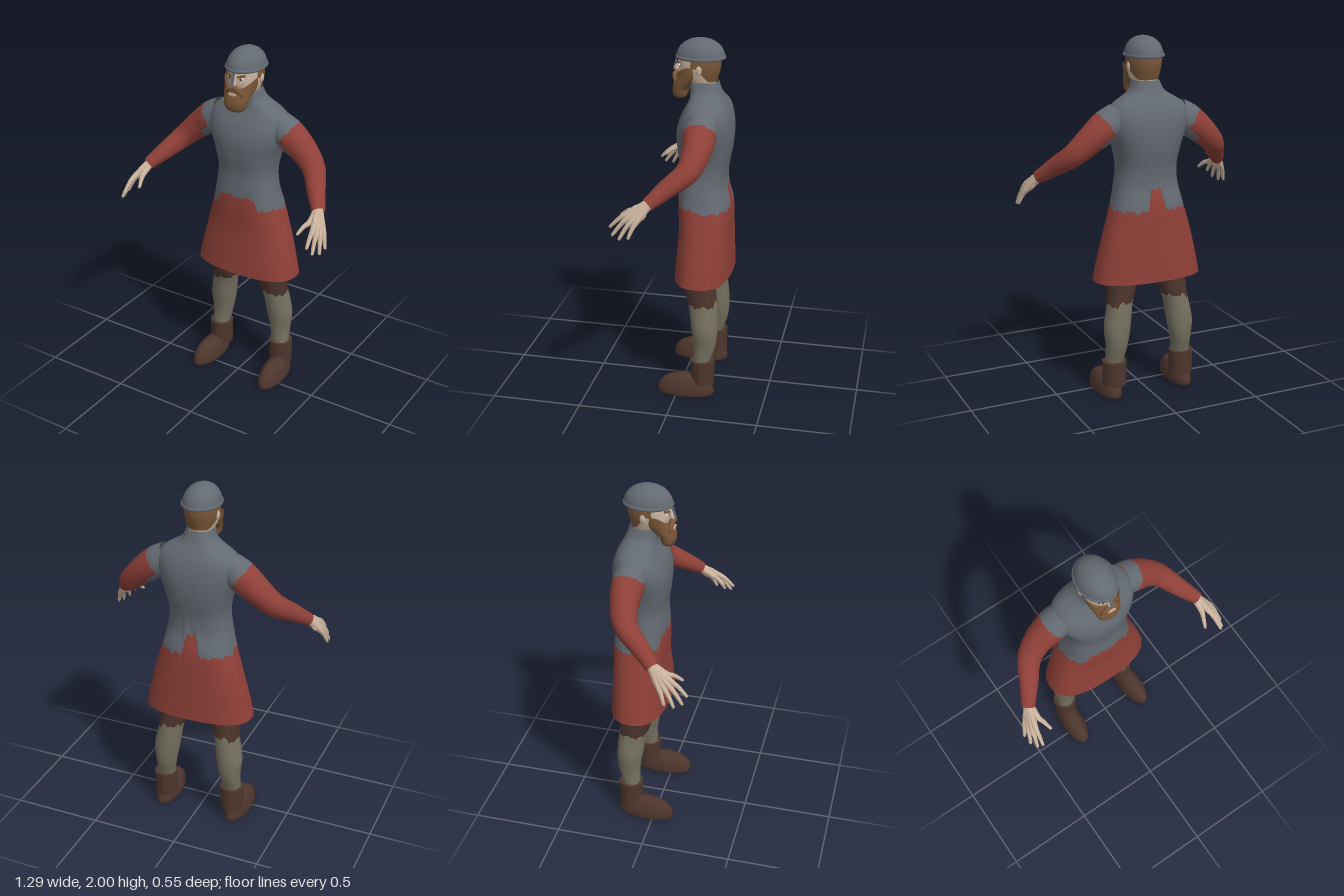
import * as THREE from 'three';

const mat = (name, color, open) => {
  const m = new THREE.MeshStandardMaterial({ color });
  m.name = name;
  if (open) m.side = THREE.DoubleSide;
  return m;
};

// Surface through oval sections [y, centreX, halfWidth, frontZ, backZ]; power shapes the oval
function oval(sections, power = 2) {
  const slope = (i, k) => {
    const a = sections[Math.max(i - 1, 0)], b = sections[Math.min(i + 1, sections.length - 1)];
    return (b[k] - a[k]) / (b[0] - a[0]);
  };
  const bend = c => Math.sign(c) * Math.abs(c) ** (2 / power);
  return (angle, y) => {
    let i = 0;
    while (i < sections.length - 2 && y > sections[i + 1][0]) i++;
    const p = sections[i], q = sections[i + 1], h = q[0] - p[0], t = (y - p[0]) / h;
    const [, cx, w, zf, zb] = p.map((_, k) =>
      p[k] * (1 + 2 * t) * (1 - t) ** 2 + slope(i, k) * h * t * (1 - t) ** 2 +
      q[k] * t * t * (3 - 2 * t) + slope(i + 1, k) * h * t * t * (t - 1));
    return [cx + w * bend(Math.cos(angle)), y, (zf + zb) / 2 + (zf - zb) / 2 * bend(Math.sin(angle))];
  };
}

// Surface round a path of points [x, y, z, radius]
function limb(points) {
  const path = new THREE.CatmullRomCurve3(points.map(p => new THREE.Vector3(p[0], p[1], p[2])), false, 'catmullrom');
  const radius = new THREE.CatmullRomCurve3(points.map(p => new THREE.Vector3(p[3], 0, 0)), false, 'catmullrom');
  return (angle, v) => {
    const t = path.getTangent(v);
    const a = new THREE.Vector3(0, 0, 1).cross(t).normalize();
    const b = a.clone().cross(t);
    return path.getPoint(v).addScaledVector(a, radius.getPoint(v).x * Math.cos(angle))
      .addScaledVector(b, radius.getPoint(v).x * Math.sin(angle)).toArray();
  };
}

// Grid over a surface, between two limits that may vary round it
function patch(f, low, high, nu = 32, nv = 16, from = 0, to = Math.PI * 2) {
  const closed = to - from > 6.28, cols = closed ? nu : nu + 1, pos = [], index = [];
  const at = (limit, angle, i) => typeof limit === 'function' ? limit(angle, i) : limit;
  for (let j = 0; j <= nv; j++) for (let i = 0; i < cols; i++) {
    const angle = from + (to - from) * i / nu;
    const v0 = at(low, angle, i), v1 = at(high, angle, i);
    pos.push(...f(angle, v0 + (v1 - v0) * j / nv));
  }
  for (let j = 0; j < nv; j++) for (let i = 0; i < nu; i++) {
    const a = j * cols + i, c = j * cols + (i + 1) % cols;
    index.push(a, a + cols, c, c, a + cols, c + cols);
  }
  const g = new THREE.BufferGeometry();
  g.setAttribute('position', new THREE.Float32BufferAttribute(pos, 3));
  g.setIndex(index);
  g.computeVertexNormals();
  return g;
}

function mirrored(geometry) {
  const g = geometry.clone().scale(-1, 1, 1), ix = g.index;
  for (let i = 0; i < ix.count; i += 3) {
    const a = ix.getX(i);
    ix.setX(i, ix.getX(i + 1));
    ix.setX(i + 1, a);
  }
  g.computeVertexNormals();
  return g;
}

const ball = (x, y, z, rx, ry, rz) => new THREE.SphereGeometry(1, 20, 14).scale(rx, ry, rz).translate(x, y, z);

export function createModel() {
  const mail = mat('mail grey', 0x646a72, true), cloth = mat('red cloth', 0x8f4038, true);
  const trousers = mat('dark trousers', 0x4b332c, true), wraps = mat('leg wraps', 0x757060, true);
  const leather = mat('boot leather', 0x4d362d), skin = mat('skin', 0xc9b29d, true);
  const hair = mat('hair brown', 0x7a5738, true), white = mat('eye white', 0xe0dcd4), dark = mat('pupil', 0x2c2320);
  const model = new THREE.Group();
  model.name = 'soldier';
  const add = (name, geometry, material) => {
    const m = new THREE.Mesh(geometry, material);
    m.name = name;
    model.add(m);
  };
  const pair = (name, geometry, material) => {
    add(name + 'Left', geometry, material);
    add(name + 'Right', mirrored(geometry), material);
  };
  const jag = i => 0.008 * Math.sin(i * 2.3) + 0.006 * Math.sin(i * 5.1);

  // Mail shirt above a flared tunic, split along a ragged waistline
  const body = oval([
    [0.68, 0, 0.31, 0.04, -0.272], [0.8, 0, 0.284, 0.032, -0.27], [0.95, 0, 0.245, 0.022, -0.267],
    [1.1, 0, 0.2, 0.03, -0.262], [1.2, 0, 0.178, 0.026, -0.235], [1.3, 0, 0.167, 0.022, -0.238],
    [1.4, 0, 0.183, 0.035, -0.258], [1.5, 0, 0.215, 0.038, -0.265], [1.58, 0, 0.228, 0.018, -0.257],
    [1.64, 0, 0.205, -0.012, -0.238], [1.675, 0, 0.155, -0.028, -0.218], [1.71, 0, 0.097, -0.03, -0.2],
    [1.77, 0, 0.07, -0.015, -0.18]], 2.5);
  const waist = (angle, i) => {
    const c = Math.abs(Math.cos(angle));
    if (Math.sin(angle) > 0) return (c < 0.55 ? 1.165 : 1.095) + jag(i);
    return (c < 0.12 ? 1.2 : 1.08) + jag(i);
  };
  add('tunicSkirt', patch(body, 0.68, waist, 72, 18), cloth);
  add('mailShirt', patch(body, waist, 1.77, 72, 36), mail);

  // Arms: short mail sleeve, then the long red one
  const arm = limb([[0.17, 1.585, -0.125, 0.08], [0.245, 1.535, -0.127, 0.088], [0.33, 1.47, -0.125, 0.076],
    [0.415, 1.39, -0.095, 0.063], [0.485, 1.315, 0, 0.05], [0.548, 1.248, 0.083, 0.036]]);
  const cuff = (angle, i) => 0.19 + (Math.cos(angle) < -0.5 ? 0.18 : 0) + jag(i);
  pair('mailSleeve', patch(arm, 0, cuff, 36, 8), mail);
  pair('redSleeve', patch(arm, cuff, 1, 36, 24), cloth);

  // Hands: fingers fanning from the wrist over a flat palm
  const wrist = [0.54, 1.257, 0.073];
  const fingers = [
    [[0.574, 1.2, 0.183], [0.586, 1.13, 0.27]], [[0.589, 1.187, 0.172], [0.61, 1.095, 0.252]],
    [[0.598, 1.177, 0.15], [0.63, 1.083, 0.212]], [[0.602, 1.172, 0.127], [0.636, 1.093, 0.163]],
    [[0.535, 1.215, 0.15], [0.507, 1.17, 0.23]]];
  fingers.forEach(([k, tip], n) => {
    const mid = k.map((c, j) => (c + tip[j]) / 2 + (j === 1 ? 0.008 : 0));
    const f = limb([[...wrist, 0.026], [...k, 0.016], [...mid, 0.012], [...tip, 0.008],
      [...tip.map((c, j) => c + (c - mid[j]) * 0.07), 0.0005]]);
    pair(n < 4 ? 'finger' + (n + 1) : 'thumb', patch(f, 0, 1, 10, 16), skin);
  });
  pair('palm', new THREE.SphereGeometry(1, 16, 12).scale(0.02, 0.045, 0.054)
    .rotateX(0.75).rotateZ(0.45).translate(0.572, 1.208, 0.128), skin);

  // Legs: trousers above, cloth wraps below
  const leg = oval([
    [0.1, 0.207, 0.05, -0.09, -0.185], [0.2, 0.205, 0.05, -0.09, -0.186], [0.3, 0.197, 0.059, -0.09, -0.214],
    [0.4, 0.192, 0.073, -0.075, -0.222], [0.53, 0.172, 0.07, -0.055, -0.215], [0.6, 0.158, 0.078, -0.035, -0.205],
    [0.7, 0.143, 0.09, -0.01, -0.195], [1.0, 0.1, 0.098, -0.01, -0.21]], 2.1);
  const knee = (angle, i) => (Math.cos(angle) > 0.5 ? 0.54 : 0.56) + jag(i);
  pair('legWrap', patch(leg, 0.1, knee, 32, 18), wraps);
  pair('trouserLeg', patch(leg, knee, 1, 32, 12), trousers);

  // Boots: domed foot with a flat sole, and a straight shaft
  const dome = [[0, 0], [0.9, 0], [0.97, 0.02], [1, 0.15], [0.97, 0.36], [0.89, 0.58], [0.74, 0.78], [0.53, 0.92], [0.28, 0.985], [0, 1]];
  const lathe = p => new THREE.LatheGeometry(p.map(([x, y]) => new THREE.Vector2(x, y)), 40);
  pair('bootFoot', lathe(dome).scale(0.067, 0.118, 0.163).rotateY(0.04).translate(0.222, 0, -0.049), leather);
  pair('bootShaft', new THREE.CylinderGeometry(0.068, 0.066, 0.14, 28).translate(0.207, 0.14, -0.142), leather);

  // Head, ears and nose
  const skull = oval([[1.68, 0, 0.06, -0.04, -0.16], [1.75, 0, 0.064, -0.03, -0.162], [1.785, 0, 0.077, 0.018, -0.17],
    [1.82, 0, 0.086, 0.034, -0.18], [1.86, 0, 0.09, 0.033, -0.187], [1.93, 0, 0.085, 0.02, -0.185]]);
  add('head', patch(skull, 1.68, 1.93, 40, 20), skin);
  pair('ear', ball(0.09, 1.842, -0.088, 0.01, 0.027, 0.017), skin);
  add('nose', patch(limb([[0, 1.875, 0.03, 0.008], [0, 1.85, 0.041, 0.011], [0, 1.828, 0.047, 0.016],
    [0, 1.815, 0.038, 0.002]]), 0, 1, 12, 10), skin);

  // Hair round the back of the head
  const hairShell = (angle, y) => {
    const [x, , z] = skull(angle, y);
    return [x * 1.05, y, -0.08 + (z + 0.08) * 1.05];
  };
  add('hair', patch(hairShell, a => 1.85 - 0.077 * Math.min(1, Math.max(0, -Math.sin(a)) * 1.6), 1.9, 32, 8,
    Math.PI - 0.3, Math.PI * 2 + 0.3), hair);

  // Beard, moustache and mouth
  const beard = oval([[1.668, 0, 0.004, 0.034, 0.026], [1.676, 0, 0.04, 0.055, 0.0], [1.695, 0, 0.06, 0.066, -0.012],
    [1.73, 0, 0.069, 0.068, -0.022], [1.77, 0, 0.08, 0.058, -0.07], [1.805, 0, 0.089, 0.046, -0.1],
    [1.86, 0, 0.094, 0.038, -0.1]], 2.2);
  add('beard', patch(beard, 1.668, a => 1.805 + 0.05 * Math.abs(Math.cos(a)) ** 3, 40, 20), hair);
  pair('moustache', patch(limb([[0, 1.81, 0.05, 0.012], [0.025, 1.804, 0.052, 0.014], [0.048, 1.782, 0.046, 0.012],
    [0.056, 1.755, 0.047, 0.002]]), 0, 1, 12, 12), hair);
  add('mouth', new THREE.BoxGeometry(0.042, 0.011, 0.009).translate(0, 1.775, 0.06), skin);

  // Eyes under slanted brows
  pair('eye', ball(0.034, 1.856, 0.027, 0.015, 0.007, 0.006), white);
  pair('pupil', ball(0.034, 1.856, 0.032, 0.006, 0.006, 0.003), dark);
  pair('brow', new THREE.BoxGeometry(0.044, 0.01, 0.012).rotateZ(0.28).rotateY(0.35).translate(0.037, 1.872, 0.028), hair);

  // Helmet: dome, rolled rim and nose guard
  const cap = [[1, 0], [0.99, 0.16], [0.94, 0.36], [0.84, 0.57], [0.68, 0.76], [0.47, 0.9], [0.24, 0.975], [0, 1]];
  add('helmetDome', lathe(cap).scale(0.1, 0.107, 0.132).translate(0, 1.893, -0.082), mail);
  add('helmetRim', new THREE.TorusGeometry(1, 0.06, 10, 48).rotateX(Math.PI / 2)
    .scale(0.101, 0.15, 0.128).translate(0, 1.899, -0.082), mail);
  add('noseGuard', new THREE.BoxGeometry(0.016, 0.076, 0.007).rotateX(-0.28).translate(0, 1.864, 0.054), mail);
  return model;
}
